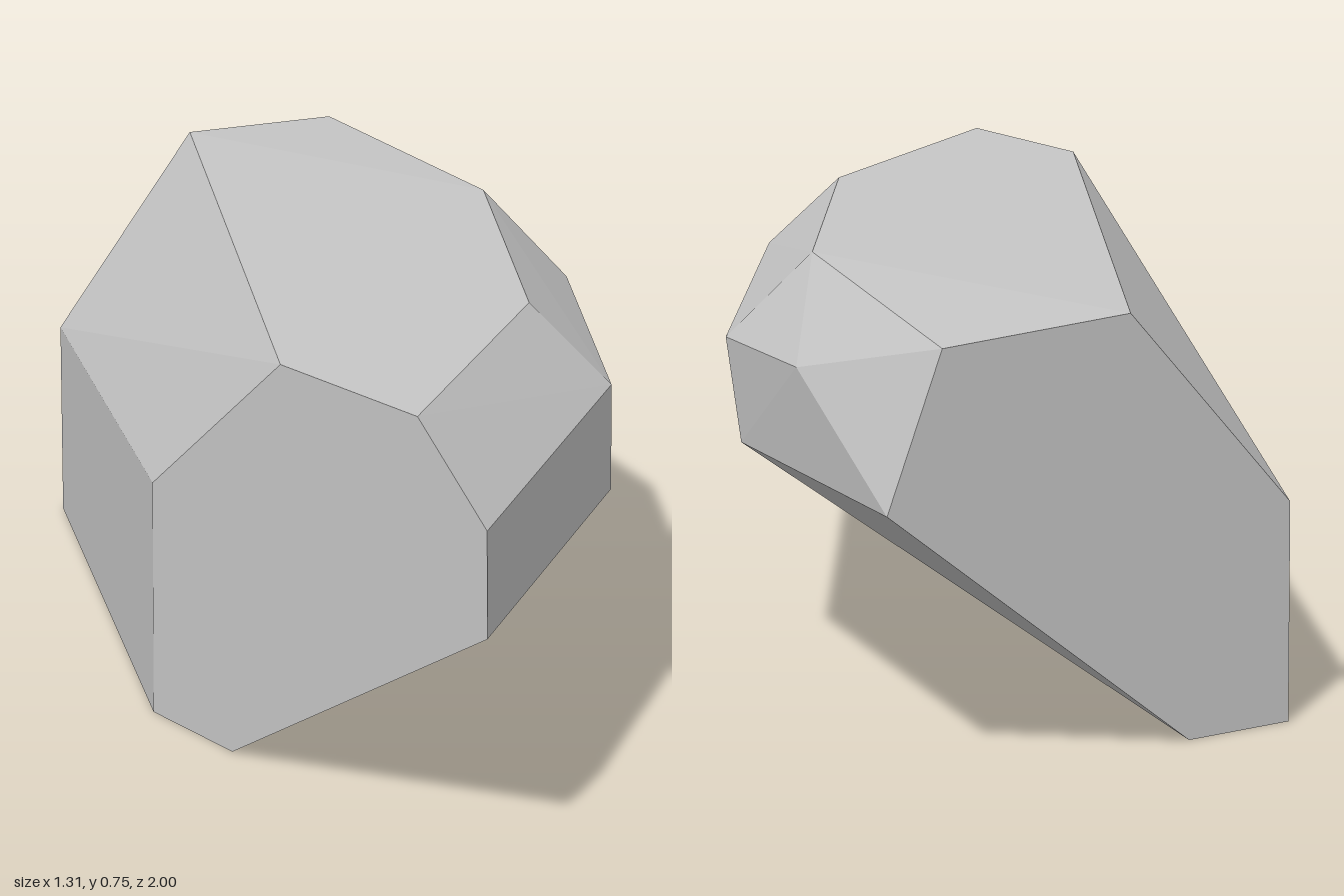
import * as THREE from 'three';
import { ConvexGeometry } from 'three/addons/geometries/ConvexGeometry.js';

const stone = new THREE.MeshStandardMaterial({ color: 0xc6c6c6 });
stone.name = 'stone grey';

export function createModel() {
  const group = new THREE.Group();
  group.name = 'boulder';

  // Corner rings of the faceted rock, each running from its front left round to the back
  const rings = {
    top: [[-0.655, 0.75, 0.82], [-0.085, 0.75, 0.42], [0.36, 0.75, -0.25],
      [0.552, 0.73, -1], [0.19, 0.75, -1], [-0.655, 0.75, 0.45]],
    upperRim: [[-0.655, 0.603, 0.998], [0.006, 0.61, 0.54], [0.465, 0.585, -0.12], [0.567, 0.62, -0.555]],
    lowerRim: [[-0.655, 0.42, 1], [0.006, 0.416, 0.543], [0.482, 0.41, -0.205],
      [0.655, 0.467, -1], [-0.142, 0.39, -1], [-0.655, 0.44, 0.065]],
    base: [[-0.655, 0, 0.295], [-0.188, 0, -0.095], [0.06, 0, -1], [-0.148, 0, -1], [-0.655, 0, 0.053]],
  };

  // The rock is convex, so its hull gives every flat facet
  const points = Object.values(rings).flat().map((p) => new THREE.Vector3(...p));
  const rock = new THREE.Mesh(new ConvexGeometry(points), stone);
  rock.name = 'rock';
  group.add(rock);
  return group;
}
